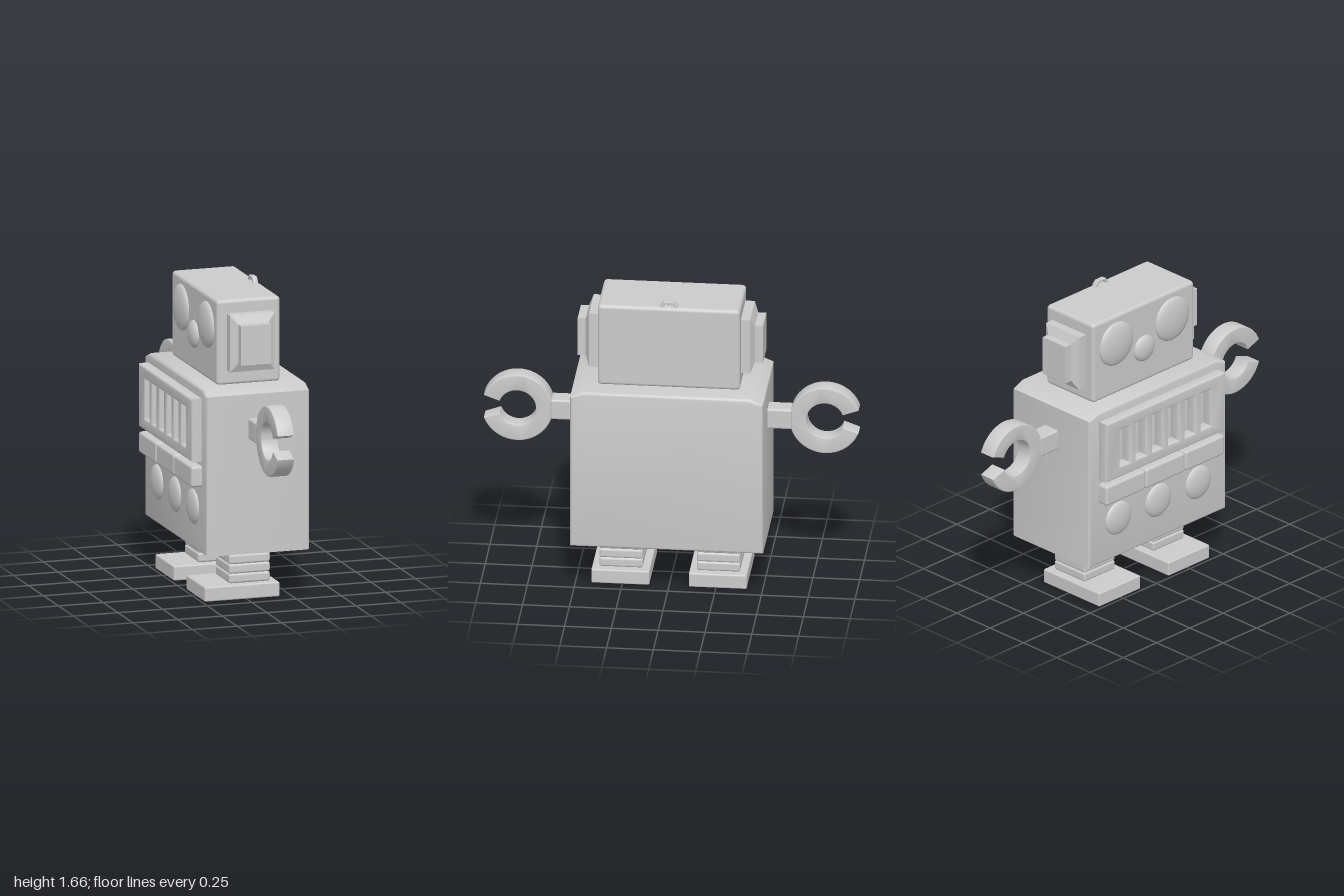
import * as THREE from 'three';
import { toCreasedNormals } from 'three/addons/utils/BufferGeometryUtils.js';
import { RoundedBoxGeometry } from 'three/addons/geometries/RoundedBoxGeometry.js';

const material = new THREE.MeshStandardMaterial({ color: 0xcccccc });

export function createModel() {
  const root = new THREE.Group();

  function add(name, geometry, x = 0, y = 0, z = 0) {
    const mesh = new THREE.Mesh(geometry, material);
    mesh.name = name;
    mesh.position.set(x, y, z);
    root.add(mesh);
    return mesh;
  }

  // Softened box given by its limits on each axis
  function block(name, x0, x1, y0, y1, z0, z1, r = 0.01) {
    return add(name, new RoundedBoxGeometry(x1 - x0, y1 - y0, z1 - z0, 3, r),
      (x0 + x1) / 2, (y0 + y1) / 2, (z0 + z1) / 2);
  }

  // Side profile (z, y) extruded along x from x0 to x1 with a small bevel
  function slab(shape, x0, x1, bevel) {
    const g = new THREE.ExtrudeGeometry(shape, {
      depth: x1 - x0 - 2 * bevel, bevelThickness: bevel, bevelSize: bevel,
      bevelOffset: -bevel, bevelSegments: 3, curveSegments: 32,
    });
    g.rotateY(Math.PI / 2);
    g.translate(x0 + bevel, 0, 0);
    return toCreasedNormals(g, 0.7);
  }

  const polygon = (points) => new THREE.Shape(points.map(([a, b]) => new THREE.Vector2(a, b)));

  // Body with cut upper shoulders
  add('body', slab(polygon([
    [-0.515, 0.27], [0.515, 0.27], [0.515, 1.14], [0.445, 1.17], [-0.445, 1.17], [-0.515, 1.14],
  ]), -0.26, 0.32, 0.015));
  block('head', -0.155, 0.2, 1.165, 1.63, -0.38, 0.38, 0.02);

  // Shallow round lens on the face side (-x)
  function dome(name, x, y, z, r, depth) {
    const g = new THREE.SphereGeometry(1, 32, 20);
    g.scale(depth, r, r);
    add(name, g, x, y, z);
  }
  for (const s of [-1, 1]) dome('eye', -0.155, 1.465, s * 0.21, 0.125, 0.033);
  dome('nose', -0.155, 1.365, 0, 0.075, 0.03);
  for (const z of [-0.3, 0, 0.3]) dome('bodyLamp', -0.26, 0.5, z, 0.095, 0.028);

  // Small loop on top of the head
  const loop = polygon([[-0.05, 1.62], [0.05, 1.62], [0.045, 1.64], [0.027, 1.66], [-0.027, 1.66], [-0.045, 1.64]]);
  loop.holes.push(polygon([[-0.028, 1.632], [-0.018, 1.647], [0.018, 1.647], [0.028, 1.632]]));
  add('headLoop', slab(loop, 0.16, 0.187, 0.003));

  // Stepped ears: box layers resized along the depth
  function earGeometry() {
    const layers = [[0.37, 0.125, 0.155], [0.43, 0.125, 0.155], [0.452, 0.085, 0.108], [0.495, 0.085, 0.108]];
    const g = new THREE.BoxGeometry(2, 2, 3, 1, 1, 3);
    const p = g.attributes.position;
    for (let i = 0; i < p.count; i++) {
      const [z, hx, hy] = layers[Math.round(p.getZ(i) + 1.5)];
      p.setXYZ(i, p.getX(i) * hx, p.getY(i) * hy, z);
    }
    return toCreasedNormals(g, 0.5);
  }
  for (const s of [-1, 1]) {
    const ear = add('ear', earGeometry(), 0.025, 1.402, 0);
    if (s < 0) ear.rotation.y = Math.PI;
  }

  // Chest grille with upright slots
  const grille = polygon([[-0.445, 0.775], [0.445, 0.775], [0.445, 1.12], [-0.445, 1.12]]);
  for (let i = 0; i < 6; i++) {
    const c = (i - 2.5) * 0.122;
    grille.holes.push(polygon([
      [c - 0.036, 0.84], [c - 0.036, 1.055], [c + 0.036, 1.055], [c + 0.036, 0.84],
    ]));
  }
  add('chestGrille', slab(grille, -0.32, -0.255, 0.012));

  // Row of push buttons under the grille
  for (let i = -1; i <= 1; i++) {
    block('button', -0.32, -0.25, 0.635, 0.75, i * 0.298 - 0.146, i * 0.298 + 0.146, 0.015);
  }

  // Arms with open ring claws
  const gap = 0.35;
  for (const s of [-1, 1]) {
    const arm = block('arm', -0.025, 0.08, 0.895, 1.01, -0.07, 0.07, 0.012);
    arm.position.z = s * 0.575;
    const turn = s > 0 ? Math.PI : 0;
    const claw = new THREE.Shape();
    claw.absarc(0, 0, 0.19, turn + gap, turn + 2 * Math.PI - gap, false);
    claw.absarc(0, 0, 0.1, turn + 2 * Math.PI - gap, turn + gap, true);
    add('claw', slab(claw, -0.023, 0.072, 0.006), 0, 0.952, s * 0.822);
  }

  // Ribbed legs and flat feet
  for (const s of [-1, 1]) {
    const z = s * 0.26;
    block('legCore', -0.075, 0.135, 0.06, 0.29, z - 0.105, z + 0.105);
    for (let i = 0; i < 4; i++) {
      const y = 0.08 + i * 0.052;
      block('legRib', -0.085, 0.145, y, y + 0.052, z - 0.116, z + 0.116, 0.012);
    }
    block('foot', -0.235, 0.185, 0, 0.08, z - 0.155, z + 0.155, 0.008);
  }
  return root;
}
